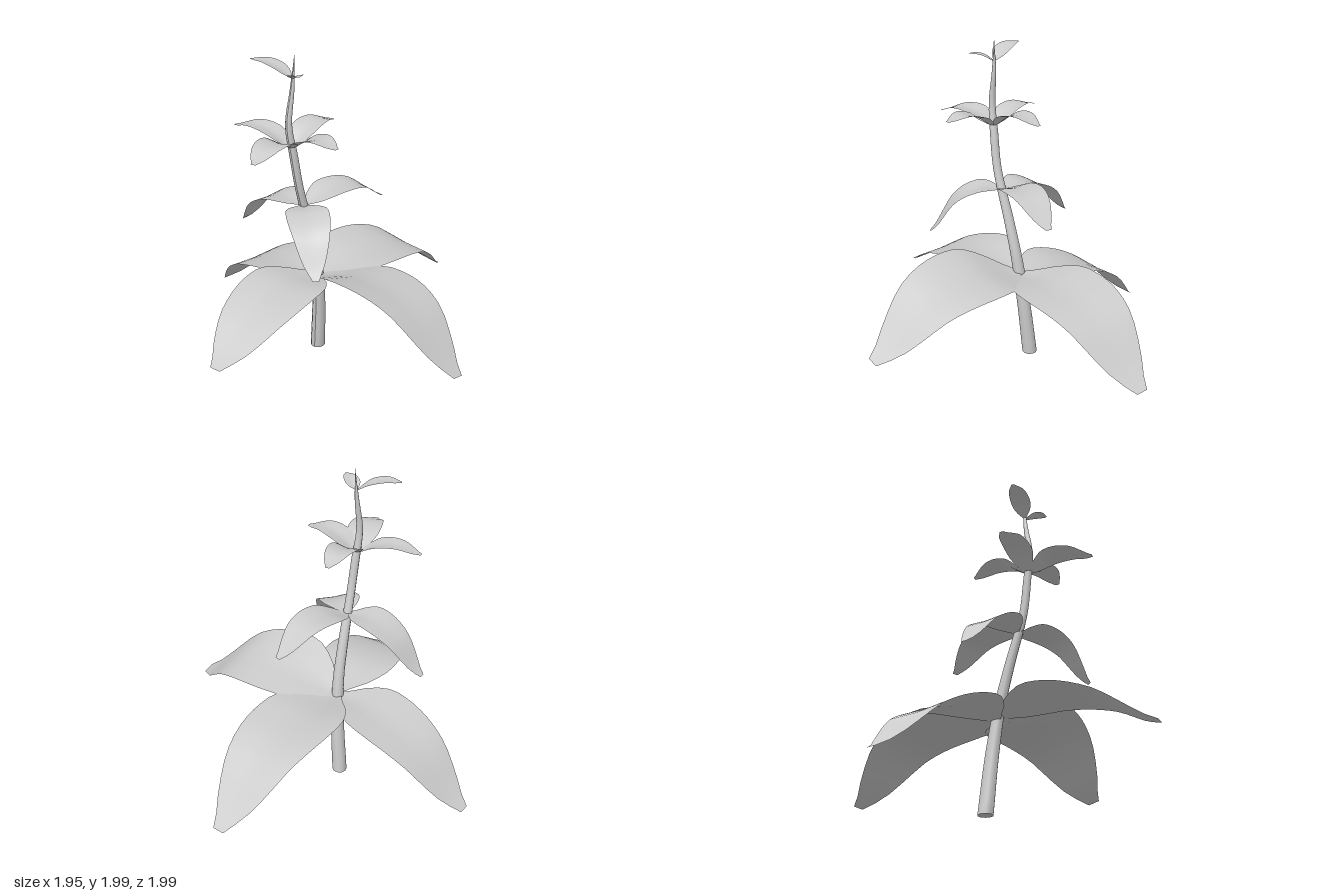
import * as THREE from 'three';

const V = (x, y, z) => new THREE.Vector3(x, y, z);
const grey = new THREE.MeshStandardMaterial({ color: 0xcccccc });
const leafMaterial = new THREE.MeshStandardMaterial({ color: 0xcccccc, side: THREE.DoubleSide });

// Smooth curve through evenly spaced values
const spline = (values) => {
  const curve = new THREE.SplineCurve(values.map((v, i) => new THREE.Vector2(i, v)));
  return (t) => curve.getPoint(t).y;
};

// Share of the full half width along a leaf, stalk to blunt tip
const leafWidth = spline([0.1, 0.62, 0.94, 1, 0.97, 0.88, 0.73, 0.47, 0.14]);

// Leaf from the stem to a tip [x, z]; heights follow the midrib
function makeLeaf(name, base, { tip, heights, half, cup = 0.15, roll = 0, bow = 0 }) {
  const geo = new THREE.PlaneGeometry(1, 1, 6, 16);
  const pos = geo.attributes.position;
  const height = spline(heights);
  const dx = tip[0] - base[0], dz = tip[1] - base[1];
  const len = Math.hypot(dx, dz);
  const sx = -dz / len, sz = dx / len;
  for (let i = 0; i < pos.count; i++) {
    const t = pos.getY(i) + 0.5;
    const w = pos.getX(i) * 2 * half * leafWidth(t);
    const side = w + bow * Math.sin(Math.PI * t);
    pos.setXYZ(i,
      base[0] + dx * t + sx * side,
      height(t) + cup * (1 - t) * Math.abs(w) + roll * w,
      base[1] + dz * t + sz * side);
  }
  geo.computeVertexNormals();
  const mesh = new THREE.Mesh(geo, leafMaterial);
  mesh.name = name;
  return mesh;
}

// Tapering, leaning stem: a cylinder bent along a curve
function makeStem() {
  const path = new THREE.CatmullRomCurve3([
    V(-0.105, 0, -0.005), V(-0.08, 0.35, 0.025), V(-0.07, 0.65, 0.07), V(-0.08, 0.9, 0.135),
    V(-0.098, 1.2, 0.225), V(-0.115, 1.42, 0.258), V(-0.13, 1.6, 0.28),
    V(-0.117, 1.8, 0.255), V(-0.105, 1.99, 0.245),
  ]);
  const radius = spline([0.046, 0.041, 0.035, 0.031, 0.026, 0.025, 0.02, 0.013, 0.001]);
  const geo = new THREE.CylinderGeometry(1, 1, 1, 10, 32);
  const pos = geo.attributes.position;
  for (let i = 0; i < pos.count; i++) {
    const t = THREE.MathUtils.clamp(pos.getY(i) + 0.5, 0, 1);
    const p = path.getPoint(t), r = radius(t);
    pos.setXYZ(i, p.x + pos.getX(i) * r, p.y, p.z + pos.getZ(i) * r);
  }
  geo.computeVertexNormals();
  const mesh = new THREE.Mesh(geo, grey);
  mesh.name = 'stem';
  return mesh;
}

// Leaf whorls from the bottom up; base is [x, z] on the stem
const whorls = [
  { name: 'lowerLeaves', base: [-0.07, 0.055], leaves: [
    { tip: [0.33, -0.985], heights: [0.55, 0.595, 0.53, 0.24], half: 0.27, roll: -0.05 },
    { tip: [-0.965, -0.3], heights: [0.55, 0.54, 0.42, 0.14], half: 0.235 },
    { tip: [0.965, 0.385], heights: [0.56, 0.65, 0.6, 0.325], half: 0.265, roll: 0.22, bow: -0.04 },
    { tip: [-0.235, 0.99], heights: [0.57, 0.62, 0.56, 0.39], half: 0.245 },
  ] },
  { name: 'middleLeaves', base: [-0.095, 0.185], leaves: [
    { tip: [0.19, -0.305], heights: [1.08, 1.14, 1.13, 1.005], half: 0.125 },
    { tip: [-0.6, 0.03], heights: [1.08, 1.09, 1.01, 0.82], half: 0.13 },
    { tip: [0.17, 0.55], heights: [1.08, 1.09, 1.02, 0.82], half: 0.125 },
  ] },
  { name: 'upperLeaves', base: [-0.12, 0.265], leaves: [
    { tip: [-0.515, 0.22], heights: [1.46, 1.53, 1.555, 1.525], half: 0.08, cup: 0.3 },
    { tip: [0.21, 0.37], heights: [1.46, 1.53, 1.565, 1.545], half: 0.09, cup: 0.3 },
    { tip: [-0.135, 0.665], heights: [1.46, 1.53, 1.545, 1.505], half: 0.1, cup: 0.3 },
    { tip: [-0.045, -0.1], heights: [1.46, 1.54, 1.565, 1.53], half: 0.09, cup: 0.3 },
  ] },
  { name: 'topLeaves', base: [-0.112, 0.25], leaves: [
    { tip: [-0.375, 0.25], heights: [1.86, 1.91, 1.94, 1.94], half: 0.06, cup: 0.3 },
    { tip: [-0.02, 0.365], heights: [1.86, 1.885, 1.905, 1.91], half: 0.045, cup: 0.3 },
  ] },
];

export function createModel() {
  const plant = new THREE.Group();
  plant.name = 'plant';
  plant.add(makeStem());
  for (const { name, base, leaves } of whorls) {
    const whorl = new THREE.Group();
    whorl.name = name;
    leaves.forEach((leaf, i) => whorl.add(makeLeaf(`leaf${i + 1}`, base, leaf)));
    plant.add(whorl);
  }
  return plant;
}
